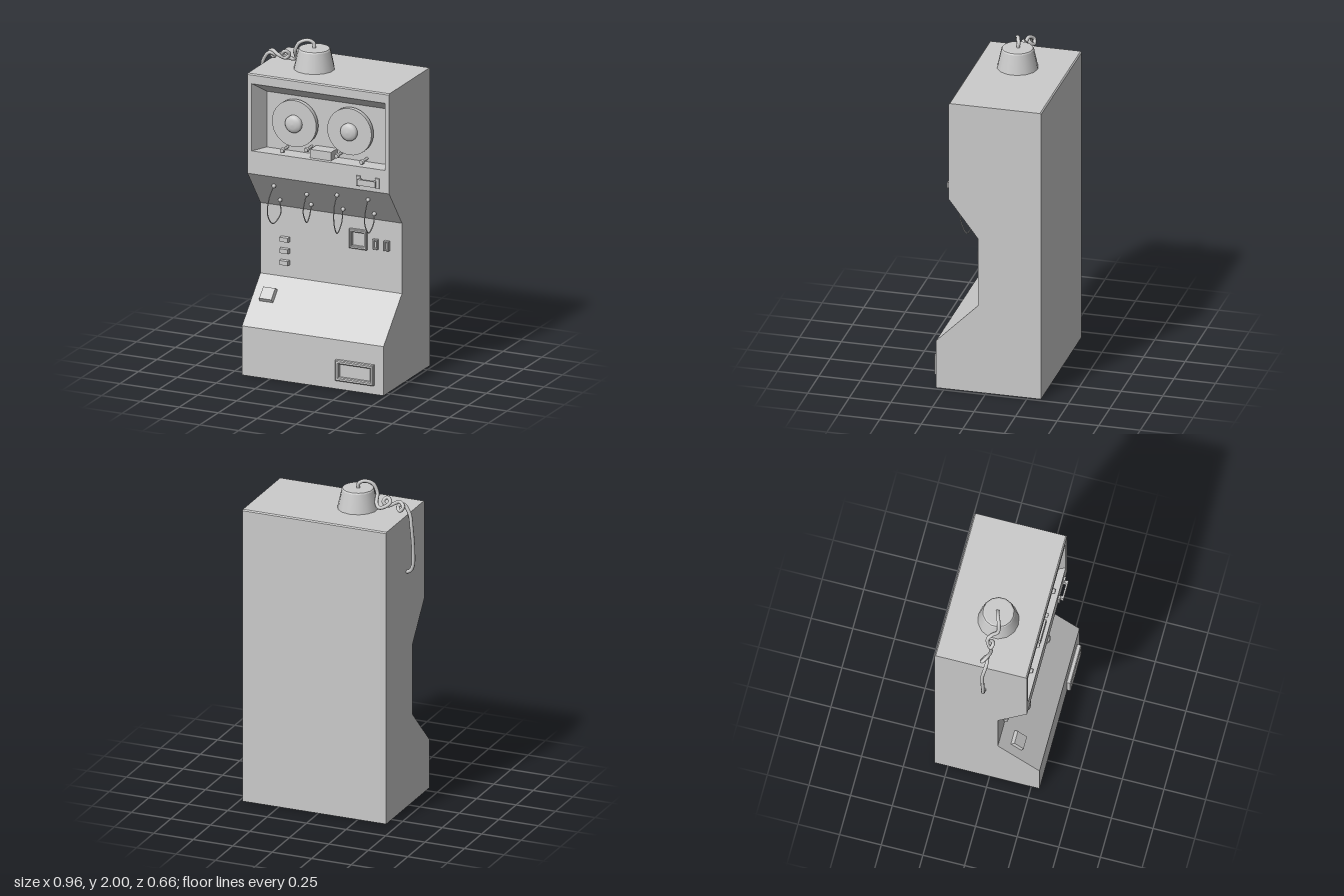
import * as THREE from 'three';

const mat = new THREE.MeshStandardMaterial({ color: 0xcccccc, side: THREE.DoubleSide });
const X0 = -0.43, X1 = 0.48, MID = 0.05; // cabinet sides and face of the middle panel

function add(parent, name, geo, x = 0, y = 0, z = 0) {
  const mesh = new THREE.Mesh(geo, mat);
  mesh.name = name;
  mesh.position.set(x, y, z);
  parent.add(mesh);
  return mesh;
}

const polygon = (pts) => new THREE.Shape(pts.map((p) => new THREE.Vector2(...p)));
const box = (w, h, d) => new THREE.BoxGeometry(w, h, d);
// cylinder whose axis points to the front
const rod = (r1, r2, len, n = 16) => new THREE.CylinderGeometry(r1, r2, len, n).rotateX(Math.PI / 2);
const tube = (pts, r, steps, sides) => new THREE.TubeGeometry(
  new THREE.CatmullRomCurve3(pts.map((p) => new THREE.Vector3(...p))), steps, r, sides);

// rectangular rim with a chamfered front edge, back at z = 0
function rim(w, h, d, t) {
  const c = Math.min(0.006, t / 3);
  const rect = (a, b) => [[-a, -b], [a, -b], [a, b], [-a, b]];
  const shape = polygon(rect(w / 2 - c, h / 2 - c));
  shape.holes.push(new THREE.Path(rect(w / 2 - t, h / 2 - t).reverse().map((p) => new THREE.Vector2(...p))));
  return new THREE.ExtrudeGeometry(shape, {
    depth: d - 2 * c, bevelThickness: c, bevelSize: c, bevelSegments: 1,
  }).translate(0, 0, c);
}

// raised plate with a slightly smaller front
function key(w, h, d) {
  const g = new THREE.BoxGeometry(w, h, d);
  const p = g.attributes.position;
  for (let i = 0; i < p.count; i++) {
    if (p.getZ(i) > 0) p.setXY(i, p.getX(i) * 0.88, p.getY(i) * 0.88);
  }
  g.computeVertexNormals();
  return g.translate(0, 0, d / 2);
}

function makeCabinet() {
  const g = new THREE.Group();
  g.name = 'cabinet';
  // side profile as (z, y), notched for the tape bay
  const profile = [
    [-0.33, 0], [0.3, 0], [0.3, 0.3], [MID, 0.55], [MID, 0.98], [0.225, 1.21], [0.225, 1.35],
    [0.12, 1.35], [0.12, 1.69], [0.225, 1.76], [0.225, 1.813], [0.218, 1.82], [-0.323, 1.82], [-0.33, 1.813],
  ];
  const body = new THREE.ExtrudeGeometry(polygon(profile.map(([z, y]) => [-z, y])),
    { depth: X1 - X0, bevelEnabled: false }).rotateY(Math.PI / 2);
  add(g, 'cabinetBody', body, X0);
  // splayed side walls of the bay
  for (const [name, x, s] of [['bayRightWall', X0, 1], ['bayLeftWall', X1, -1]]) {
    const pts = [[0, -0.11], [0.075, -0.11], [0.075, -0.12], [0.027, -0.225], [0, -0.225]];
    const wall = new THREE.ExtrudeGeometry(polygon(pts.map(([a, b]) => [a * s, b])),
      { depth: 0.41, bevelEnabled: false }).rotateX(-Math.PI / 2);
    add(g, name, wall, x, 1.35);
  }
  return g;
}

function makeTapeDeck() {
  const g = new THREE.Group();
  g.name = 'tapeDeck';
  for (const x of [-0.155, 0.2]) {
    add(g, 'reelAxle', rod(0.04, 0.04, 0.04), x, 1.535, 0.135);
    add(g, 'reel', rod(0.142, 0.142, 0.03, 32), x, 1.535, 0.158);
    const hub = [[0.053, 0], [0.053, 0.015], [0.045, 0.025], [0.025, 0.032], [0, 0.034]];
    add(g, 'reelHub', new THREE.LatheGeometry(hub.map((p) => new THREE.Vector2(...p)), 24)
      .rotateX(Math.PI / 2), x, 1.535, 0.17);
  }
  add(g, 'tapeHead', box(0.135, 0.052, 0.085), 0.03, 1.378, 0.16);
  for (const [x, y] of [[-0.22, 1.37], [-0.065, 1.395], [0.13, 1.385], [0.29, 1.37]]) {
    add(g, 'guidePin', rod(0.008, 0.008, 0.08, 10), x, y, 0.155);
    add(g, 'guideKnob', rod(0.012, 0.016, 0.016, 12), x, y, 0.197);
  }
  return g;
}

function makePatchCords() {
  const g = new THREE.Group();
  g.name = 'patchCords';
  const slopeZ = (y) => MID + (y - 0.98) * 0.76;
  // x, upper jack height, bottom of the sag, sideways sway, forward reach
  const cords = [
    [-0.28, 1.14, 0.905, 0.03, 0.21], [-0.08, 1.11, 0.935, 0.01, 0.19],
    [0.125, 1.14, 0.905, 0.005, 0.215], [0.325, 1.14, 0.93, 0.015, 0.2],
  ];
  for (const [x, top, low, sway, reach] of cords) {
    for (const y of [top, 1.03]) {
      add(g, 'jack', new THREE.SphereGeometry(0.013, 12, 8), x, y, slopeZ(y) + 0.012);
    }
    add(g, 'cord', tube([
      [x, top, slopeZ(top) + 0.015], [x - sway * 0.6, top - 0.07, reach], [x - sway, low + 0.06, reach - 0.005],
      [x - sway * 0.4, low, reach - 0.04], [x + sway * 0.5, low + 0.05, 0.125], [x, 1.03, slopeZ(1.03) + 0.015],
    ], 0.0035, 32, 6));
  }
  return g;
}

function makeControls() {
  const g = new THREE.Group();
  g.name = 'controls';
  // handle below the bay
  for (const x of [0.285, 0.407]) add(g, 'handleEnd', box(0.026, 0.062, 0.012), x, 1.265, 0.23);
  for (const x of [0.297, 0.395]) add(g, 'handlePost', box(0.014, 0.036, 0.03), x, 1.263, 0.238);
  add(g, 'handleBar', box(0.115, 0.036, 0.01), 0.346, 1.263, 0.25);
  // screen and two slots
  add(g, 'screenFrame', rim(0.112, 0.118, 0.024, 0.013), 0.205, 0.848, MID);
  add(g, 'screen', box(0.09, 0.096, 0.004), 0.205, 0.848, MID + 0.003);
  for (const x of [0.315, 0.387]) {
    add(g, 'slotFrame', rim(0.032, 0.06, 0.022, 0.007), x, 0.832, MID);
    add(g, 'slot', box(0.022, 0.05, 0.012), x, 0.832, MID + 0.007);
  }
  // button column
  for (const y of [0.78, 0.71, 0.638]) add(g, 'button', key(0.058, 0.03, 0.024), -0.27, y, MID);
  // plate on the lower slope
  const plate = add(g, 'slopePlate', key(0.088, 0.088, 0.024), -0.333, 0.455, 0.145);
  plate.rotation.x = -Math.PI / 4;
  // delivery tray
  add(g, 'trayFrame', rim(0.245, 0.125, 0.03, 0.016), 0.302, 0.12, 0.298);
  add(g, 'trayBack', box(0.22, 0.1, 0.004), 0.302, 0.12, 0.302);
  return g;
}

function makeBeacon() {
  const g = new THREE.Group();
  g.name = 'topCap';
  const cap = [[0.121, 0], [0.096, 0.115], [0.091, 0.123], [0.082, 0.125], [0, 0.125]];
  // repeated points keep the edges crisp
  const pts = cap.flatMap((p) => [new THREE.Vector2(...p), new THREE.Vector2(...p)]);
  add(g, 'cap', new THREE.LatheGeometry(pts, 14), -0.12, 1.82, -0.028);
  // curled cable from the cap down the side
  add(g, 'cable', tube([
    [-0.122, 1.935, -0.03], [-0.125, 1.97, -0.032], [-0.155, 1.988, -0.022], [-0.205, 1.972, -0.004],
    [-0.232, 1.92, -0.002], [-0.24, 1.87, -0.035], [-0.265, 1.85, -0.055], [-0.3, 1.858, -0.04],
    [-0.322, 1.882, -0.02], [-0.3, 1.905, -0.012], [-0.28, 1.885, -0.028], [-0.305, 1.858, -0.028],
    [-0.345, 1.875, -0.015], [-0.385, 1.895, -0.025], [-0.415, 1.875, -0.048], [-0.395, 1.848, -0.052],
    [-0.375, 1.868, -0.03], [-0.405, 1.88, -0.02], [-0.445, 1.83, -0.025], [-0.462, 1.75, -0.035],
    [-0.471, 1.6, -0.03], [-0.468, 1.51, -0.03], [-0.452, 1.478, -0.03], [-0.425, 1.466, -0.03],
  ], 0.011, 160, 8));
  return g;
}

export function createModel() {
  const model = new THREE.Group();
  model.name = 'tapeMachine';
  model.add(makeCabinet(), makeTapeDeck(), makePatchCords(), makeControls(), makeBeacon());
  return model;
}
